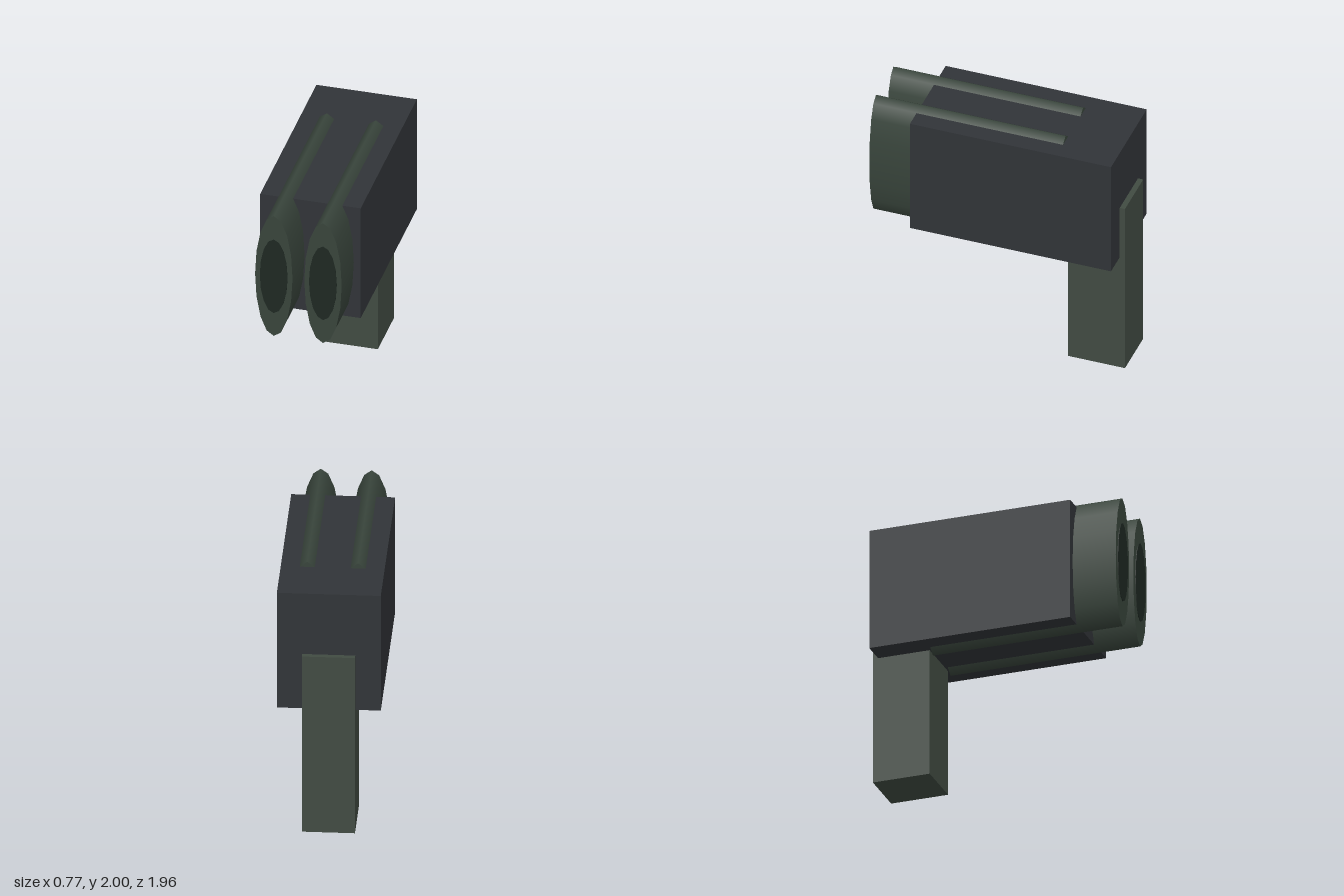
import * as THREE from 'three';

const material = (color) => new THREE.MeshStandardMaterial({ color });

function add(group, name, geometry, mat) {
  const mesh = new THREE.Mesh(geometry, mat);
  mesh.name = name;
  group.add(mesh);
}

// Box given by its half width and its y and z limits
function box(halfWidth, y0, y1, z0, z1) {
  return new THREE.BoxGeometry(halfWidth * 2, y1 - y0, z1 - z0)
    .translate(0, (y0 + y1) / 2, (z0 + z1) / 2);
}

// 16-sided elliptical cylinder along z, with corners at top and bottom
function ovalTube(rx, ry, z0, z1, x, y) {
  return new THREE.CylinderGeometry(1, 1, z1 - z0, 16)
    .rotateX(Math.PI / 2)
    .scale(rx, ry, 1)
    .translate(x, y, (z0 + z1) / 2);
}

export function createModel() {
  const group = new THREE.Group();
  const bodyMat = material(0x313438);
  const gripMat = material(0x414b42);
  const barrelMat = material(0x38443b);
  const boreMat = material(0x1e2822);

  // Main housing and upright grip at the rear
  add(group, 'body', box(0.384, 1.005, 1.958, -0.94, 0.638), bodyMat);
  add(group, 'grip', box(0.196, 0, 1.456, -0.981, -0.534), gripMat);

  // Twin tall oval barrels, each with a dark disc for its bore
  for (const [side, x] of [['left', 0.188], ['right', -0.188]]) {
    add(group, side + 'Barrel', ovalTube(0.143, 0.52, -0.512, 0.977, x, 1.48), barrelMat);
    add(group, side + 'Bore', ovalTube(0.106, 0.318, 0.5, 0.982, x, 1.48), boreMat);
  }
  return group;
}
